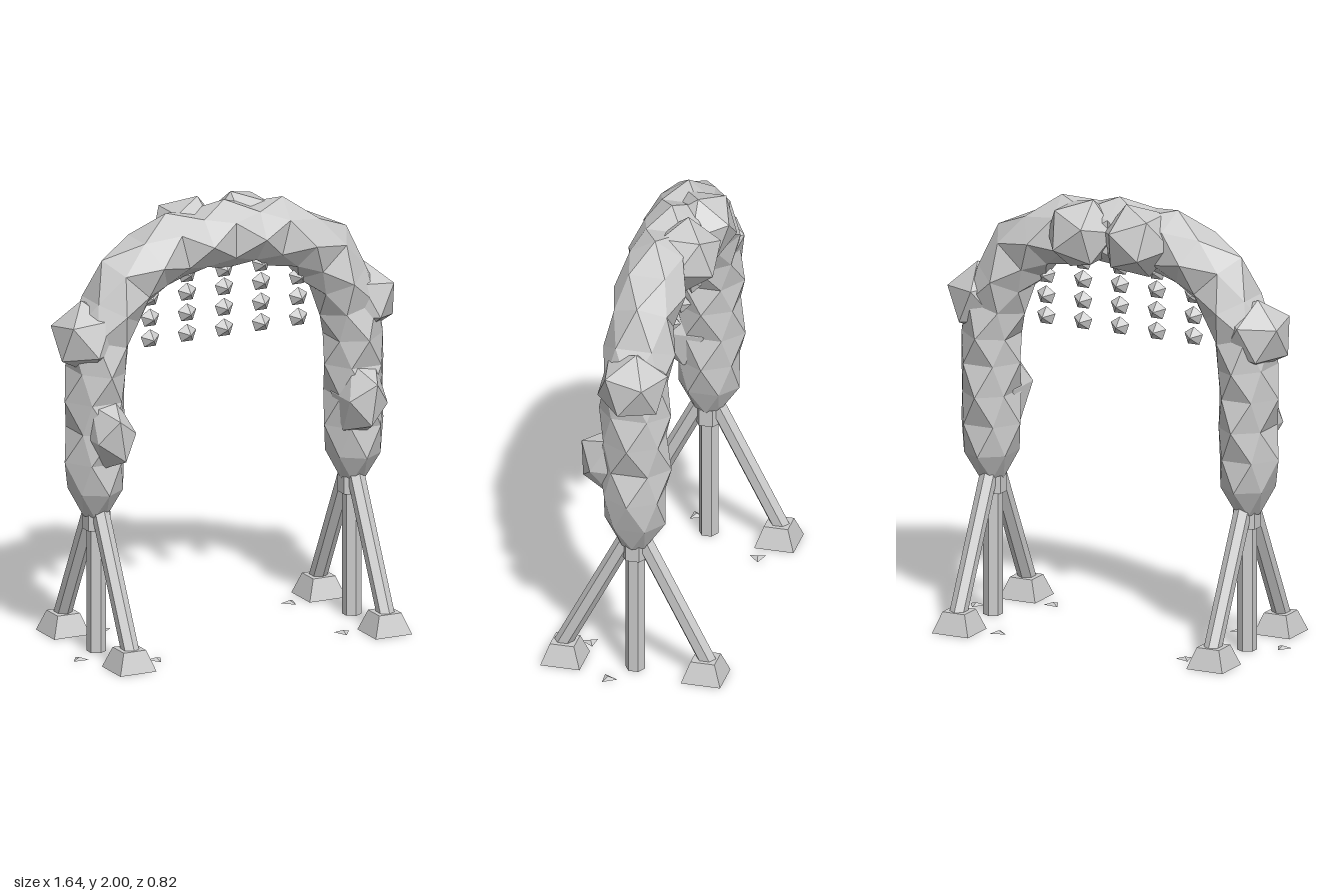
import * as THREE from 'three';

const stone = new THREE.MeshStandardMaterial({ color: 0xcccccc });
stone.name = 'pale grey stone';

// Faceted mesh helper
function part(parent, name, geometry, x = 0, y = 0, z = 0) {
  const geo = geometry.index ? geometry.toNonIndexed() : geometry;
  geo.computeVertexNormals();
  const mesh = new THREE.Mesh(geo, stone);
  mesh.name = name;
  mesh.position.set(x, y, z);
  parent.add(mesh);
  return mesh;
}

// Half of the arch centre line, from crown to foot: x, y, radius outward, radius in z
const HALF = [
  [0, 1.84, 0.16, 0.14], [0.13, 1.835, 0.127, 0.165], [0.25, 1.82, 0.16, 0.14],
  [0.38, 1.77, 0.135, 0.165], [0.49, 1.69, 0.16, 0.14], [0.565, 1.57, 0.13, 0.165],
  [0.62, 1.44, 0.15, 0.145], [0.64, 1.3, 0.125, 0.165], [0.645, 1.17, 0.147, 0.145],
  [0.64, 1.03, 0.12, 0.168], [0.645, 0.89, 0.147, 0.14], [0.64, 0.75, 0.118, 0.14],
  [0.64, 0.63, 0.058, 0.06],
];

// Rocky arch: six-sided rings, every other one turned by half a step
function archGeometry() {
  const path = [
    ...HALF.slice(1).reverse().map(([x, ...rest]) => [-x, ...rest]),
    ...HALF,
  ];
  const last = path.length - 1;
  const positions = [], indices = [];
  path.forEach(([x, y, rn, rz], i) => {
    const a = path[Math.max(0, i - 1)], b = path[Math.min(last, i + 1)];
    const t = new THREE.Vector2(b[0] - a[0], b[1] - a[1]).normalize();
    for (let k = 0; k < 6; k++) {
      const ang = (k + (i % 2) / 2) * Math.PI / 3;
      const n = Math.cos(ang) * rn;
      positions.push(x - t.y * n, y + t.x * n, Math.sin(ang) * rz);
    }
  });
  for (let i = 0; i < last; i++) {
    const shift = i % 2;
    for (let k = 0; k < 6; k++) {
      const a0 = i * 6 + k, a1 = i * 6 + (k + 1) % 6;
      const b0 = (i + 1) * 6 + (k + shift) % 6;
      const b1 = (i + 1) * 6 + (k + shift + 1) % 6;
      indices.push(a0, a1, b0, b0, a1, b1);
    }
  }
  const geo = new THREE.BufferGeometry();
  geo.setAttribute('position', new THREE.Float32BufferAttribute(positions, 3));
  geo.setIndex(indices);
  return geo;
}

// Straight six-sided strut between two points
function strut(parent, name, from, to, radius) {
  const dir = to.clone().sub(from);
  const mid = from.clone().add(to).multiplyScalar(0.5);
  const mesh = part(parent, name,
    new THREE.CylinderGeometry(radius, radius, dir.length(), 6), mid.x, mid.y, mid.z);
  mesh.quaternion.setFromUnitVectors(new THREE.Vector3(0, 1, 0), dir.normalize());
}

export function createModel() {
  const model = new THREE.Group();
  model.name = 'rockArch';
  part(model, 'arch', archGeometry());

  for (const s of [-1, 1]) {
    const side = s > 0 ? 'left' : 'right';

    // Boulders bulging out of the arch
    const front = part(model, side + 'FrontBoulder', new THREE.IcosahedronGeometry(0.18), s * 0.625, 1.025, 0.092);
    front.scale.x = 0.62;
    front.rotation.z = s * -0.15;
    const back = part(model, side + 'BackBoulder', new THREE.IcosahedronGeometry(0.17), s * 0.14, 1.84, -0.098);
    back.rotation.z = s * 0.9;
    const shoulder = part(model, side + 'ShoulderBoulder', new THREE.IcosahedronGeometry(0.168), s * 0.682, 1.455, 0);
    shoulder.rotation.set(0.9, 0, s * -0.2);

    // Tripod stand
    const stand = new THREE.Group();
    stand.name = side + 'Stand';
    stand.position.x = s * 0.635;
    model.add(stand);
    part(stand, 'post', new THREE.CylinderGeometry(0.044, 0.044, 0.63, 6), 0, 0.315, 0);
    part(stand, 'collar', new THREE.CylinderGeometry(0.062, 0.062, 0.08, 6), 0, 0.605, 0);
    for (const f of [-1, 1]) {
      strut(stand, 'brace', new THREE.Vector3(0, 0.65, f * 0.04), new THREE.Vector3(0, 0.07, f * 0.338), 0.04);
      const foot = new THREE.CylinderGeometry(0.055 * Math.SQRT2, 0.09 * Math.SQRT2, 0.095, 4);
      foot.rotateY(Math.PI / 4);
      part(stand, 'foot', foot, 0, 0.0475, f * 0.322);
    }

    // Loose stone chips on the ground
    [[0.465, -0.27, 0.3], [0.465, 0.25, 2.0], [0.765, 0.09, 1.1]].forEach(([x, z, turn]) => {
      const chip = part(model, 'groundChip', new THREE.ConeGeometry(0.042, 0.012, 3), s * x, 0.006, z);
      chip.rotation.y = s * turn;
    });
  }

  // Curtain of small hanging crystals
  const rows = [1.405, 1.5, 1.595, 1.68];
  for (let c = -2; c <= 2; c++) {
    rows.slice(0, Math.abs(c) === 2 ? 3 : 4).forEach((y) => {
      const crystal = new THREE.SphereGeometry(0.048, 5, 2);
      crystal.rotateX(Math.PI / 2).rotateZ(-Math.PI / 2).scale(1, 0.92, 0.85);
      part(model, 'hangingCrystal', crystal, c * 0.184, y, 0);
    });
  }
  return model;
}
